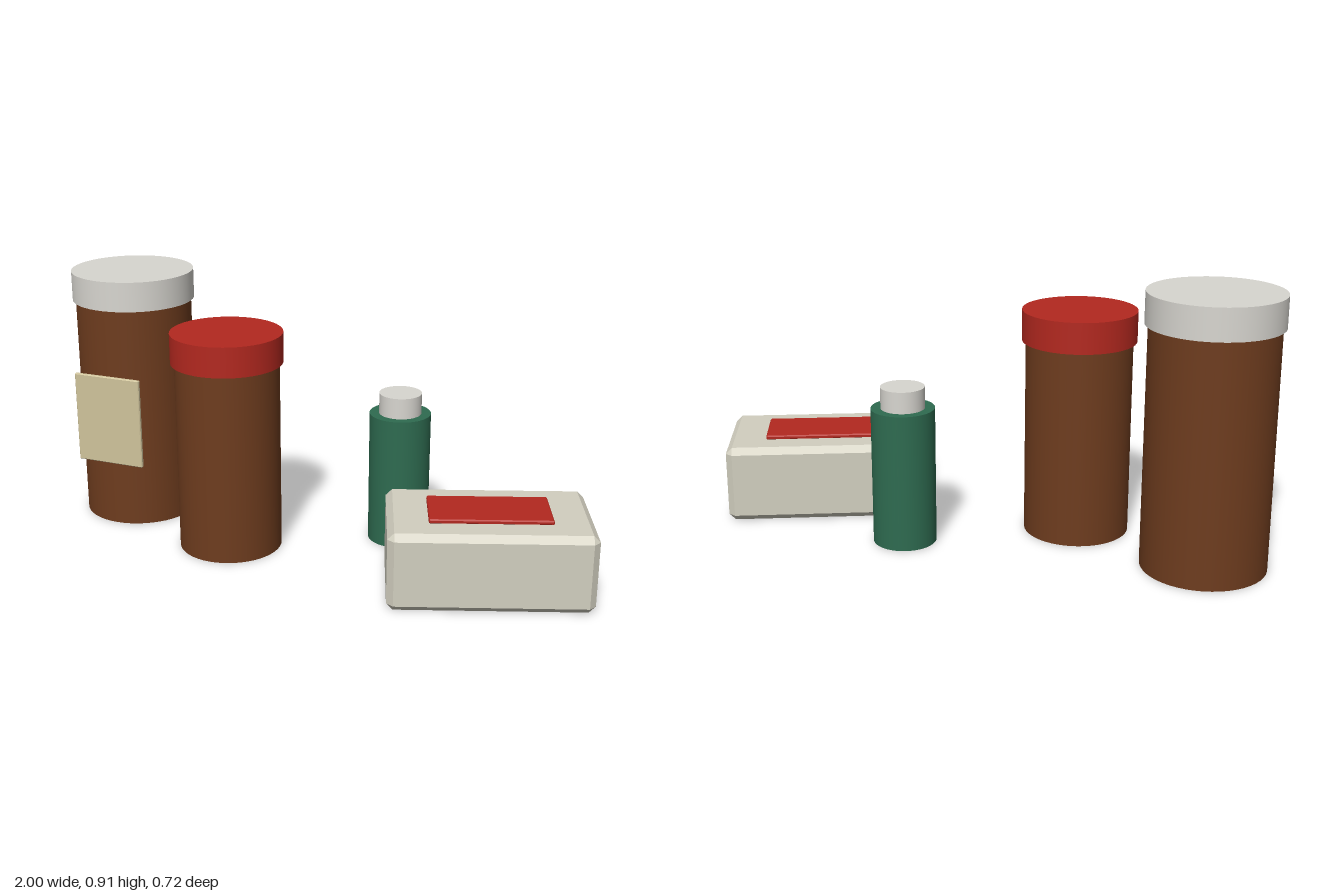
import * as THREE from 'three';
import { ConvexGeometry } from 'three/addons/geometries/ConvexGeometry.js';

const paint = (color) => new THREE.MeshStandardMaterial({ color });
const BROWN = paint(0x6e3c1e), RED = paint(0xb3281f), GREEN = paint(0x2e6b50);
const WHITE = paint(0xd8d6d0), CARTON = paint(0xd2cfc0), CREAM = paint(0xd0c49c);

// Upright cylinder standing on height y
function drum(name, r, y, h, material) {
  const mesh = new THREE.Mesh(new THREE.CylinderGeometry(r, r, h, 48), material);
  mesh.name = name;
  mesh.position.y = y + h / 2;
  return mesh;
}

// Box with every edge cut by a chamfer c: each corner gives three points
function chamferBox(name, w, h, d, c, material) {
  const points = [];
  for (const sx of [-1, 1]) for (const sy of [-1, 1]) for (const sz of [-1, 1]) {
    for (let axis = 0; axis < 3; axis++) {
      const inset = [c, c, c];
      inset[axis] = 0;
      points.push(new THREE.Vector3(
        sx * (w / 2 - inset[0]), sy * (h / 2 - inset[1]), sz * (d / 2 - inset[2])));
    }
  }
  const mesh = new THREE.Mesh(new ConvexGeometry(points), material);
  mesh.name = name;
  return mesh;
}

// Bottle: straight body with a flat cap on top
function bottle(name, x, z, body, cap) {
  const group = new THREE.Group();
  group.name = name;
  group.position.set(x, 0, z);
  group.add(drum(name + 'Body', body.r, 0, body.h, body.material));
  group.add(drum(name + 'Cap', cap.r, body.h, cap.h, cap.material));
  return group;
}

export function createModel() {
  const model = new THREE.Group();
  model.name = 'medicineSet';

  // Tall bottle with a flat paper label on its front
  const tall = bottle('tallBottle', -0.782, -0.138,
    { r: 0.207, h: 0.805, material: BROWN }, { r: 0.218, h: 0.105, material: WHITE });
  const label = chamferBox('paperLabel', 0.258, 0.327, 0.014, 0.003, CREAM);
  label.position.set(0, 0.402, 0.216);
  tall.add(label);
  model.add(tall);

  // Medium bottle with red cap
  model.add(bottle('mediumBottle', -0.315, 0.063,
    { r: 0.18, h: 0.672, material: BROWN }, { r: 0.193, h: 0.105, material: RED }));

  // Small vial
  model.add(bottle('smallVial', 0.22, -0.207,
    { r: 0.107, h: 0.47, material: GREEN }, { r: 0.074, h: 0.073, material: WHITE }));

  // Turned carton with a raised red panel
  const carton = new THREE.Group();
  carton.name = 'carton';
  carton.position.set(0.62, 0, 0.064);
  carton.rotation.y = THREE.MathUtils.degToRad(20);
  const box = chamferBox('cartonBox', 0.668, 0.268, 0.404, 0.022, CARTON);
  box.position.y = 0.134;
  const panel = chamferBox('cartonPanel', 0.4, 0.016, 0.2, 0.004, RED);
  panel.position.y = 0.273;
  carton.add(box, panel);
  model.add(carton);

  return model;
}
